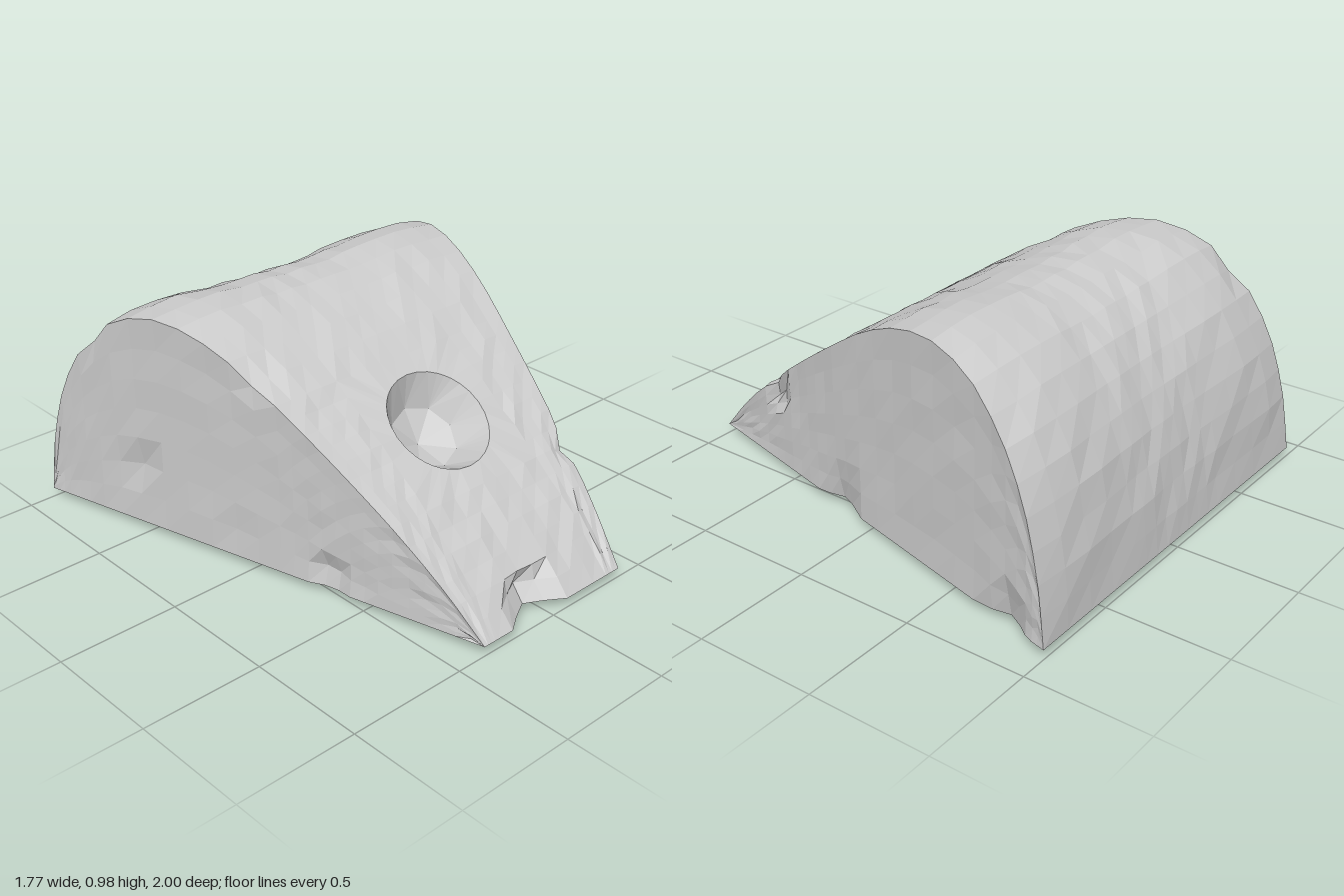
import * as THREE from 'three';

const BASE = 0.04, HOLE_R = 0.217, PATCH = 0.3;

// Side profile from the front toe, over the crest, down to the back (z, y)
const profile = new THREE.CatmullRomCurve3([
  [1, 0.04], [0.84, 0.21], [0.64, 0.387], [0.4, 0.57], [0.2, 0.71], [0, 0.84], [-0.2, 0.93], [-0.4, 0.962],
  [-0.6, 0.905], [-0.75, 0.775], [-0.88, 0.56], [-0.96, 0.3], [-1, 0.04],
].map(([z, y]) => new THREE.Vector3(0, y, z)), false, 'centripetal');
const LENGTH = profile.getLength();
const at = (d) => profile.getPointAt(Math.min(1, Math.max(0, d / LENGTH)));
const halfWidth = (z) => 0.63 - 0.257 * z;

// Distance along the profile to the hole centre
let holeD = 0;
while (at(holeD).z > 0.385) holeD += 0.005;

// Grid stations: the middle block of 8 x 8 cells surrounds the hole
const spread = (a, b, n) => Array.from({ length: n }, (_, i) => a + ((b - a) * i) / n);
const rows = [...spread(0, holeD - PATCH, 6), ...spread(holeD - PATCH, holeD + PATCH, 8),
  ...spread(holeD + PATCH, LENGTH, 15), LENGTH];
const columns = (w) => [...spread(-w, -PATCH, 4), ...spread(-PATCH, PATCH, 8), ...spread(PATCH, w, 4), w];
const NR = rows.length - 1, NC = 16;

// Repeatable rough noise in -1..1
const noise = (a, b) => {
  const s = Math.sin(a * 127.1 + b * 311.7) * 43758.5453;
  return 2 * (s - Math.floor(s)) - 1;
};

// Chips: centre, radius, push
const chips = [
  [[-0.075, 0.07, 0.97], 0.14, [0, 0, -0.13]],
  [[0.59, 0.06, 0.18], 0.12, [-0.06, 0, 0]],
  [[0.84, 0.06, -0.8], 0.12, [-0.06, 0, 0]],
  [[0.47, 0.37, 0.6], 0.1, [-0.05, -0.04, 0]],
  [[0.74, 0.84, -0.7], 0.09, [-0.02, -0.05, 0.03]],
  [[-0.6, 0.82, 0], 0.09, [0.02, -0.04, -0.03]],
  [[-0.8, 0.78, -0.75], 0.08, [0.03, -0.03, 0.02]],
  [[-0.55, 0.1, 0.35], 0.1, [0.05, 0, 0]],
  [[-0.78, 0.3, -0.55], 0.1, [0.04, 0, 0]],
].map(([c, r, p]) => ({ c: new THREE.Vector3(...c), r, p: new THREE.Vector3(...p) }));
const chip = (v) => {
  const out = v.clone();
  for (const { c, r, p } of chips) out.addScaledVector(p, Math.max(0, 1 - v.distanceTo(c) / r));
  return out;
};

// Point on the curved skin, raised along its normal
function skinPoint(d, x, lift = 0) {
  const p = at(d), a = at(d - 0.01), b = at(d + 0.01);
  const n = new THREE.Vector3(0, a.z - b.z, b.y - a.y).normalize();
  const f = x / halfWidth(p.z);
  const back = Math.max(0, (d - 1.3) / (LENGTH - 1.3));
  const bulge = 0.1 * f * f * Math.max(0, 1 - f * f) * Math.sin(Math.PI * back);
  p.x = x;
  return p.addScaledVector(n, lift + bulge);
}

// Triangle collector
function facets() {
  const data = [];
  const tri = (...vs) => vs.forEach((v) => data.push(v.x, v.y, v.z));
  const quad = (a, b, c, d) => { tri(a, b, c); tri(a, c, d); };
  const grid = (nu, nv, fn, flip = false, skip = () => false) => {
    const pts = Array.from({ length: nu + 1 }, (_, i) => Array.from({ length: nv + 1 }, (_, j) => fn(i, j)));
    for (let i = 0; i < nu; i++) for (let j = 0; j < nv; j++) {
      if (skip(i, j)) continue;
      const q = [pts[i][j], pts[i + 1][j], pts[i + 1][j + 1], pts[i][j + 1]];
      quad(...(flip ? q.reverse() : q));
    }
    return pts;
  };
  const mesh = (name) => {
    const g = new THREE.BufferGeometry();
    g.setAttribute('position', new THREE.Float32BufferAttribute(data, 3));
    g.computeVertexNormals();
    const m = new THREE.Mesh(g, new THREE.MeshStandardMaterial({ color: 0xcccccc, flatShading: true }));
    m.name = name;
    return m;
  };
  return { tri, quad, grid, mesh };
}

export function createModel() {
  const group = new THREE.Group();
  group.name = 'taperedBlock';

  // Curved top skin with an opening left for the hole
  const skin = facets();
  const pts = skin.grid(NC, NR, (i, j) => {
    const x = columns(halfWidth(at(rows[j]).z))[i];
    const edge = i === 0 || i === NC || j === 0 || j === NR;
    return chip(skinPoint(rows[j], x, edge ? 0 : 0.006 * noise(i, j)));
  }, false, (i, j) => i >= 4 && i < 12 && j >= 6 && j < 14);

  // Ring between the square opening and the round rim
  const square = [];
  for (let k = 0; k < 8; k++) square.push([4 + k, 6]);
  for (let k = 0; k < 8; k++) square.push([12, 6 + k]);
  for (let k = 0; k < 8; k++) square.push([12 - k, 14]);
  for (let k = 0; k < 8; k++) square.push([4, 14 - k]);
  const outer = square.map(([i, j]) => pts[i][j]);
  const angles = square.map(([i, j]) => Math.atan2(j - 10, i - 8));
  const circle = (r, lift) => angles.map((a) => skinPoint(holeD + r * Math.sin(a), r * Math.cos(a), lift));
  const rim = circle(HOLE_R, 0);
  const band = (target, a, b) => a.forEach((p, k) => {
    const n = (k + 1) % a.length;
    target.quad(p, a[n], b[n], b[k]);
  });
  band(skin, outer, rim);
  group.add(skin.mesh('curvedTop'));

  // Faceted bowl sunk into the slope
  const bowl = facets();
  const floor = angles.map((a) => {
    const s = Math.round(a / (Math.PI / 4)) * (Math.PI / 4);
    return skinPoint(holeD + 0.14 * Math.sin(s), 0.14 * Math.cos(s), -0.13);
  });
  band(bowl, rim, floor);
  const pit = skinPoint(holeD, 0, -0.19);
  floor.forEach((p, k) => bowl.tri(p, floor[(k + 1) % floor.length], pit));
  group.add(bowl.mesh('roundHollow'));

  // Flat side walls, mirrored
  for (const side of [1, -1]) {
    const wall = facets();
    wall.grid(NR, 7, (i, j) => {
      const p = at(rows[i]);
      const inner = i > 0 && i < NR && j > 0 && j < 7;
      const x = halfWidth(p.z) - (inner ? 0.004 * (1 + noise(i + side * 40, j)) : 0);
      return chip(new THREE.Vector3(side * x, BASE + ((p.y - BASE) * j) / 7, p.z));
    }, side < 0);
    group.add(wall.mesh(side > 0 ? 'leftWall' : 'rightWall'));
  }

  // Uneven underside, lowest point touching the ground
  const base = facets();
  const lowRow = rows.findIndex((d) => at(d).z < 0.56);
  base.grid(NC, NR, (i, j) => {
    const z = at(rows[j]).z, x = columns(halfWidth(z))[i];
    const edge = i === 0 || i === NC || j === 0 || j === NR;
    let drop = edge ? 0 : 0.01 + 0.007 * noise(i + 9, j + 5);
    if (i === 6 && j === lowRow) drop = BASE;
    return chip(new THREE.Vector3(x, BASE - drop, z));
  }, true);
  group.add(base.mesh('underside'));

  return group;
}
